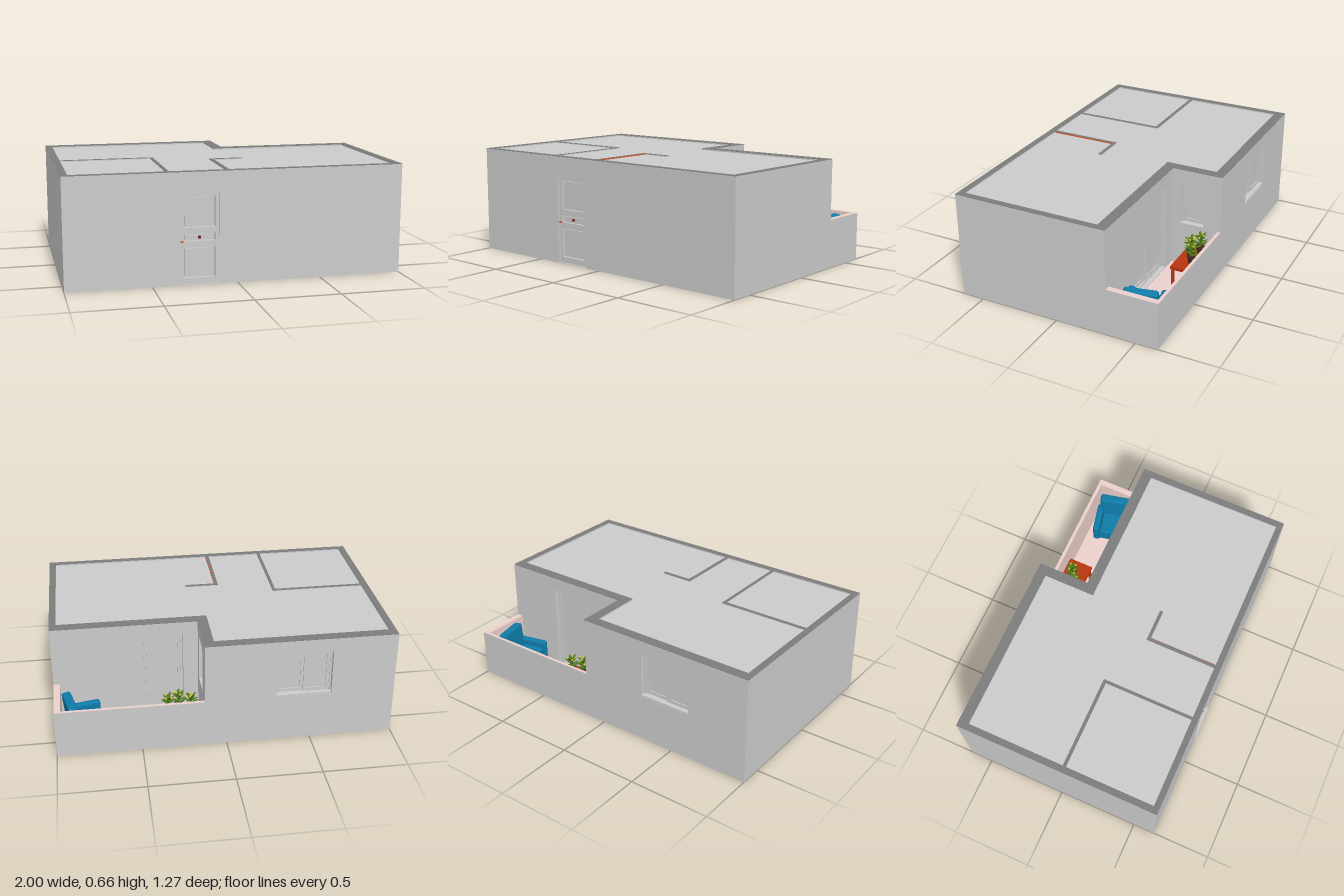
import * as THREE from 'three';
import { RoundedBoxGeometry } from 'three/addons/geometries/RoundedBoxGeometry.js';

const mat = (color) => new THREE.MeshStandardMaterial({ color });
const GREY = mat(0xcccccc), CAP = mat(0x7c7c7c), PINK = mat(0xecd0cc), RED = mat(0xb8350f);
const BLUE = mat(0x0f7ba8), GREEN = mat(0x4f7a1c), YELLOW = mat(0xd8c832), POT = mat(0x4a2c20);
const DARKRED = mat(0x7a1512), ORANGE = mat(0xe0501a);
const H = 0.66, CAP_H = 0.002;

function add(parent, name, geo, material) {
  const m = new THREE.Mesh(geo, material);
  m.name = name;
  parent.add(m);
  return m;
}

// Box given by its min and max corners
function box(parent, name, x0, x1, y0, y1, z0, z1, material = GREY) {
  const g = new THREE.BoxGeometry(x1 - x0, y1 - y0, z1 - z0);
  g.translate((x0 + x1) / 2, (y0 + y1) / 2, (z0 + z1) / 2);
  return add(parent, name, g, material);
}

function rectPath(P, a, b, c, d) {
  const p = new P();
  p.moveTo(a, c); p.lineTo(b, c); p.lineTo(b, d); p.lineTo(a, d); p.closePath();
  return p;
}

// Panel in the XY plane with rectangular holes [x0, x1, y0, y1]
function panel(x0, x1, y0, y1, depth, holes) {
  const s = rectPath(THREE.Shape, x0, x1, y0, y1);
  holes.forEach((h) => s.holes.push(rectPath(THREE.Path, ...h)));
  return new THREE.ExtrudeGeometry(s, { depth, bevelEnabled: false });
}

// Full-height wall with a dark cut top; holes run along its longer side
function wall(parent, name, x0, x1, z0, z1, holes = [], top = H) {
  const y1 = top - CAP_H;
  let g;
  if (x1 - x0 > z1 - z0) {
    g = panel(x0, x1, 0, y1, z1 - z0, holes).translate(0, 0, z0);
  } else {
    g = panel(z0, z1, 0, y1, x1 - x0, holes).rotateY(-Math.PI / 2).translate(x1, 0, 0);
  }
  add(parent, name, g, GREY);
  box(parent, name + 'Top', x0, x1, y1, top, z0, z1, CAP);
}

// L-shaped slab filling the rooms
function slab(parent, name, y, thickness) {
  const pts = [[-0.96, -0.575], [0.07, -0.575], [0.07, -0.255], [0.96, -0.255], [0.96, 0.6], [-0.96, 0.6]];
  const s = new THREE.Shape(pts.map(([x, z]) => new THREE.Vector2(x, -z)));
  const g = new THREE.ExtrudeGeometry(s, { depth: thickness, bevelEnabled: false });
  add(parent, name, g.rotateX(-Math.PI / 2).translate(0, y, 0), GREY);
}

// Frame with framed sashes, centred on x, standing on y = 0, outside towards +z
function glazing(name, w, h, sashes, sill) {
  const g = new THREE.Group();
  g.name = name;
  const f = 0.012, sw = (w - 2 * f) / sashes;
  add(g, 'frame', panel(-w / 2, w / 2, 0, h, 0.03, [[f - w / 2, w / 2 - f, f, h - f]]), GREY);
  for (let i = 0; i < sashes; i++) {
    const a = -w / 2 + f + i * sw, b = a + sw, z = 0.006 + (i % 2) * 0.008;
    add(g, 'sash', panel(a, b, f, h - f, 0.012, [[a + 0.018, b - 0.018, f + 0.02, h - f - 0.02]]).translate(0, 0, z), GREY);
    box(g, 'pane', a + 0.015, b - 0.015, f + 0.015, h - f - 0.015, z + 0.003, z + 0.006);
  }
  if (sill) box(g, 'sill', -w / 2, w / 2, 0, 0.012, 0.03, 0.055);
  return g;
}

function frontDoor() {
  const g = new THREE.Group();
  g.name = 'frontDoor';
  const panels = [[-0.315, -0.13, 0.335, 0.515], [-0.315, -0.13, 0.255, 0.3], [-0.315, -0.13, 0.04, 0.22]];
  add(g, 'doorLeaf', panel(-0.335, -0.11, 0.003, 0.53, 0.02, panels).translate(0, 0, 0.603), GREY);
  box(g, 'doorBack', -0.335, -0.11, 0.003, 0.53, 0.598, 0.604);
  panels.forEach(([a, b, c, d]) => box(g, 'doorPanel', a + 0.008, b - 0.008, c + 0.008, d - 0.008, 0.603, 0.614));
  add(g, 'doorFrame', panel(-0.346, -0.099, 0.002, 0.541, 0.032, [[-0.335, -0.11, 0.004, 0.53]]).translate(0, 0, 0.6), GREY);
  add(g, 'knob', new THREE.SphereGeometry(0.009, 16, 12).translate(-0.223, 0.277, 0.62), DARKRED);
  box(g, 'handle', -0.338, -0.318, 0.25, 0.258, 0.622, 0.632, ORANGE);
  return g;
}

function armchair() {
  const g = new THREE.Group();
  g.name = 'armchair';
  const part = (name, w, h, d, x, y, z, tilt = 0) => {
    const m = add(g, name, new RoundedBoxGeometry(w, h, d, 3, 0.015), BLUE);
    m.position.set(x, y, z);
    m.rotation.z = tilt;
  };
  part('base', 0.2, 0.07, 0.2, 0, 0.055, 0);
  part('seatCushion', 0.16, 0.05, 0.15, -0.025, 0.11, 0);
  part('backrest', 0.055, 0.24, 0.2, 0.08, 0.15, 0, -0.1);
  for (const s of [-1, 1]) {
    part('armrest', 0.2, 0.15, 0.042, -0.012, 0.095, s * 0.097);
    for (const x of [-0.08, 0.08]) box(g, 'foot', x - 0.01, x + 0.01, 0, 0.025, s * 0.085 - 0.01, s * 0.085 + 0.01, POT);
  }
  return g;
}

function pottedPlant(seed) {
  const g = new THREE.Group();
  g.name = 'pottedPlant';
  const profile = [[0, 0], [0.018, 0], [0.026, 0.05], [0.022, 0.05], [0.02, 0.042], [0, 0.042]];
  add(g, 'pot', new THREE.LatheGeometry(profile.map((p) => new THREE.Vector2(...p)), 16), POT);
  const leafGeo = new THREE.SphereGeometry(1, 8, 6).scale(0.026, 0.003, 0.009).translate(0.024, 0, 0);
  for (let i = 0; i < 15; i++) {
    const leaf = add(g, 'leaf', leafGeo, GREEN);
    leaf.position.y = 0.05 + 0.0035 * i;
    leaf.rotation.set(0, i * 2.4 + seed, 0.2 + 0.05 * i, 'YXZ');
  }
  add(g, 'stem', new THREE.CylinderGeometry(0.003, 0.004, 0.07, 6).translate(0, 0.075, 0), GREEN);
  for (let i = 0; i < 4; i++) {
    const a = i * 1.7 + seed;
    add(g, 'flower', new THREE.IcosahedronGeometry(0.007, 1), YELLOW)
      .position.set(Math.cos(a) * 0.024, 0.112 + 0.004 * i, Math.sin(a) * 0.024);
  }
  return g;
}

export function createModel() {
  const root = new THREE.Group();
  root.name = 'apartment';

  // Outer walls
  const backWindow = [-0.62, -0.29, 0.29, 0.575];
  const sideWindow = [-0.525, -0.375, 0.29, 0.587];
  const balconyDoor = [0.22, 0.65, 0.02, 0.575];
  wall(root, 'frontWall', -1, 1, 0.6, 0.637, [[-0.345, -0.1, 0.003, 0.54]]);
  wall(root, 'rightWall', -1, -0.96, -0.575, 0.6);
  wall(root, 'leftWall', 0.96, 1, -0.255, 0.6);
  wall(root, 'backWall', -1, 0.13, -0.637, -0.575, [backWindow]);
  wall(root, 'balconySideWall', 0.07, 0.13, -0.575, -0.255, [sideWindow]);
  wall(root, 'balconyBackWall', 0.13, 1, -0.32, -0.255, [balconyDoor]);
  slab(root, 'floor', 0.003, 0.01);
  slab(root, 'ceiling', 0.64, 0.01);

  // Inner walls
  wall(root, 'bathroomBackWall', -0.96, -0.39, 0.03, 0.05, [], 0.657);
  wall(root, 'bathroomSideWall', -0.408, -0.39, 0.05, 0.6, [[0.13, 0.25, 0.015, 0.54]], 0.657);
  wall(root, 'kitchenSideWall', -0.06, -0.04, 0.18, 0.6, [], 0.657);
  wall(root, 'kitchenBackWall', -0.06, 0.145, 0.16, 0.18, [], 0.657);
  box(root, 'kitchenPaint', -0.04, -0.038, 0.013, 0.656, 0.18, 0.6, ORANGE);

  // Door and windows
  root.add(frontDoor());
  const place = (g, x, y, z, turn) => {
    g.position.set(x, y, z);
    g.rotation.y = turn;
    root.add(g);
  };
  place(glazing('backWindow', 0.33, 0.285, 2, true), -0.455, 0.29, -0.58, Math.PI);
  place(glazing('sideWindow', 0.15, 0.297, 1, true), 0.075, 0.29, -0.45, Math.PI / 2);
  place(glazing('slidingDoor', 0.43, 0.555, 2, false), 0.435, 0.02, -0.26, Math.PI);

  // Balcony with parapet lined on the inside
  box(root, 'balconyFloor', 0.13, 0.965, 0.003, 0.015, -0.622, -0.32, PINK);
  box(root, 'backParapet', 0.13, 1, 0, 0.292, -0.637, -0.624);
  box(root, 'sideParapet', 0.97, 1, 0, 0.292, -0.624, -0.32);
  box(root, 'backParapetLining', 0.13, 0.97, 0.015, 0.293, -0.624, -0.617, PINK);
  box(root, 'sideParapetLining', 0.962, 0.97, 0.015, 0.293, -0.617, -0.32, PINK);
  box(root, 'backParapetTop', 0.13, 1, 0.292, 0.294, -0.637, -0.624, PINK);
  box(root, 'sideParapetTop', 0.97, 1, 0.292, 0.294, -0.624, -0.32, PINK);

  // Table with plants
  box(root, 'tableTop', 0.132, 0.43, 0.15, 0.17, -0.605, -0.445, RED);
  for (const x of [0.14, 0.407]) {
    for (const z of [-0.6, -0.465]) box(root, 'tableLeg', x, x + 0.015, 0.015, 0.15, z, z + 0.015, RED);
  }
  [[0.2, -0.54], [0.27, -0.505], [0.335, -0.54]].forEach(([x, z], i) => place(pottedPlant(i), x, 0.17, z, 0));

  // Armchair turned towards the table
  place(armchair(), 0.82, 0.015, -0.468, 0.22);
  return root;
}
